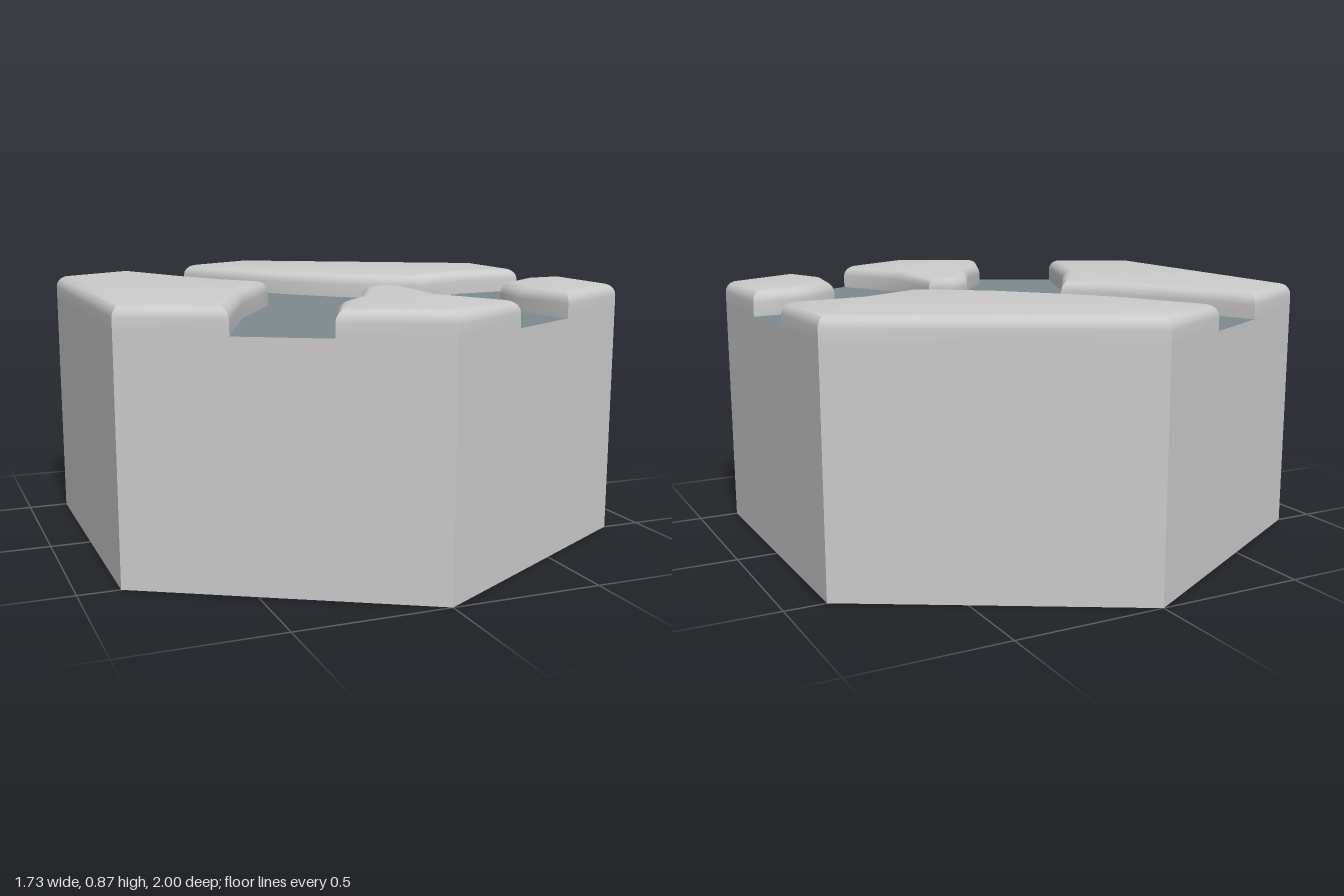
import * as THREE from 'three';
import { mergeGeometries, toCreasedNormals } from 'three/addons/utils/BufferGeometryUtils.js';

const BED = 0.78, TOP = 0.866, BEVEL = 0.04, W = 0.866;

// Each raised plateau: its river bank, then the hexagon corners that close it (x, z)
const PLATEAUS = [
  { name: 'backPlateau',
    bank: [[-0.3, -0.827], [-0.14, -0.52], [-0.03, -0.37], [0.13, -0.19], [0.27, -0.08], [0.375, -0.02], [0.6, -0.13], [W, -0.155]],
    corners: [[W, -0.5], [0, -1]] },
  { name: 'leftFrontPlateau',
    bank: [[W, 0.15], [0.7, 0.165], [0.53, 0.3], [0.5, 0.48], [0.565, 0.674]],
    corners: [[W, 0.5]] },
  { name: 'frontPlateau',
    bank: [[0.3, 0.827], [0.17, 0.56], [0.175, 0.27], [0.115, 0.205], [0.03, 0.25], [-0.1, 0.51], [-0.215, 0.635], [-0.3, 0.827]],
    corners: [[0, 1]] },
  { name: 'rightPlateau',
    bank: [[-0.565, 0.674], [-0.4, 0.28], [-0.31, 0.14], [-0.205, -0.04], [-0.31, -0.16], [-0.42, -0.36], [-0.565, -0.674]],
    corners: [[-W, -0.5], [-W, 0.5]] },
];

// Moves every edge of an outline inwards by d
function inset(points, d) {
  const n = points.length;
  const normal = (a, b) => {
    const dx = b[0] - a[0], dz = b[1] - a[1], l = Math.hypot(dx, dz);
    return [dz / l, -dx / l];
  };
  return points.map((p, i) => {
    const a = normal(points[(i + n - 1) % n], p);
    const b = normal(p, points[(i + 1) % n]);
    const k = d / (1 + a[0] * b[0] + a[1] * b[1]);
    return [p[0] + (a[0] + b[0]) * k, p[1] + (a[1] + b[1]) * k];
  });
}

// Flat upward-facing face filling an outline
function flatFace(points, y) {
  const shape = new THREE.Shape(points.map(([x, z]) => new THREE.Vector2(x, -z)));
  return new THREE.ShapeGeometry(shape).rotateX(-Math.PI / 2).translate(0, y, 0);
}

// Upright wall, quarter-round rim and flat top
function plateauGeometry(outline) {
  const rings = [{ y: BED, pts: outline }];
  const steps = 5;
  for (let i = 0; i <= steps; i++) {
    const t = (i / steps) * Math.PI / 2;
    rings.push({ y: TOP - BEVEL + BEVEL * Math.sin(t), pts: inset(outline, BEVEL * (1 - Math.cos(t))) });
  }
  const pos = [], n = outline.length;
  for (let r = 0; r < rings.length - 1; r++) {
    for (let i = 0; i < n; i++) {
      const j = (i + 1) % n;
      const at = (ring, k) => [ring.pts[k][0], ring.y, ring.pts[k][1]];
      const a = at(rings[r], i), b = at(rings[r], j), c = at(rings[r + 1], j), d = at(rings[r + 1], i);
      pos.push(...a, ...b, ...c, ...a, ...c, ...d);
    }
  }
  const sides = new THREE.BufferGeometry();
  sides.setAttribute('position', new THREE.Float32BufferAttribute(pos, 3));
  const top = flatFace(rings[rings.length - 1].pts, TOP).toNonIndexed();
  top.deleteAttribute('uv');
  top.deleteAttribute('normal');
  return toCreasedNormals(mergeGeometries([sides, top]), 0.65);
}

export function createModel() {
  const group = new THREE.Group();
  const stone = new THREE.MeshStandardMaterial({ color: 0xcccccc });
  const water = new THREE.MeshStandardMaterial({ color: 0x7d8a8e });
  const add = (name, geometry, material) => {
    const mesh = new THREE.Mesh(geometry, material);
    mesh.name = name;
    group.add(mesh);
  };

  // Hexagonal block with its underside
  const walls = new THREE.CylinderGeometry(1, 1, BED, 6, 1, true).translate(0, BED / 2, 0);
  const underside = new THREE.CircleGeometry(1, 6, Math.PI / 6).rotateX(Math.PI / 2);
  add('hexBase', toCreasedNormals(mergeGeometries([walls, underside]), 0.5), stone);

  // Branching river bed bounded by all the banks
  add('riverBed', flatFace(PLATEAUS.flatMap((p) => p.bank), BED), water);

  // Raised land between the channels
  for (const { name, bank, corners } of PLATEAUS) {
    add(name, plateauGeometry([...bank, ...corners]), stone);
  }
  return group;
}
